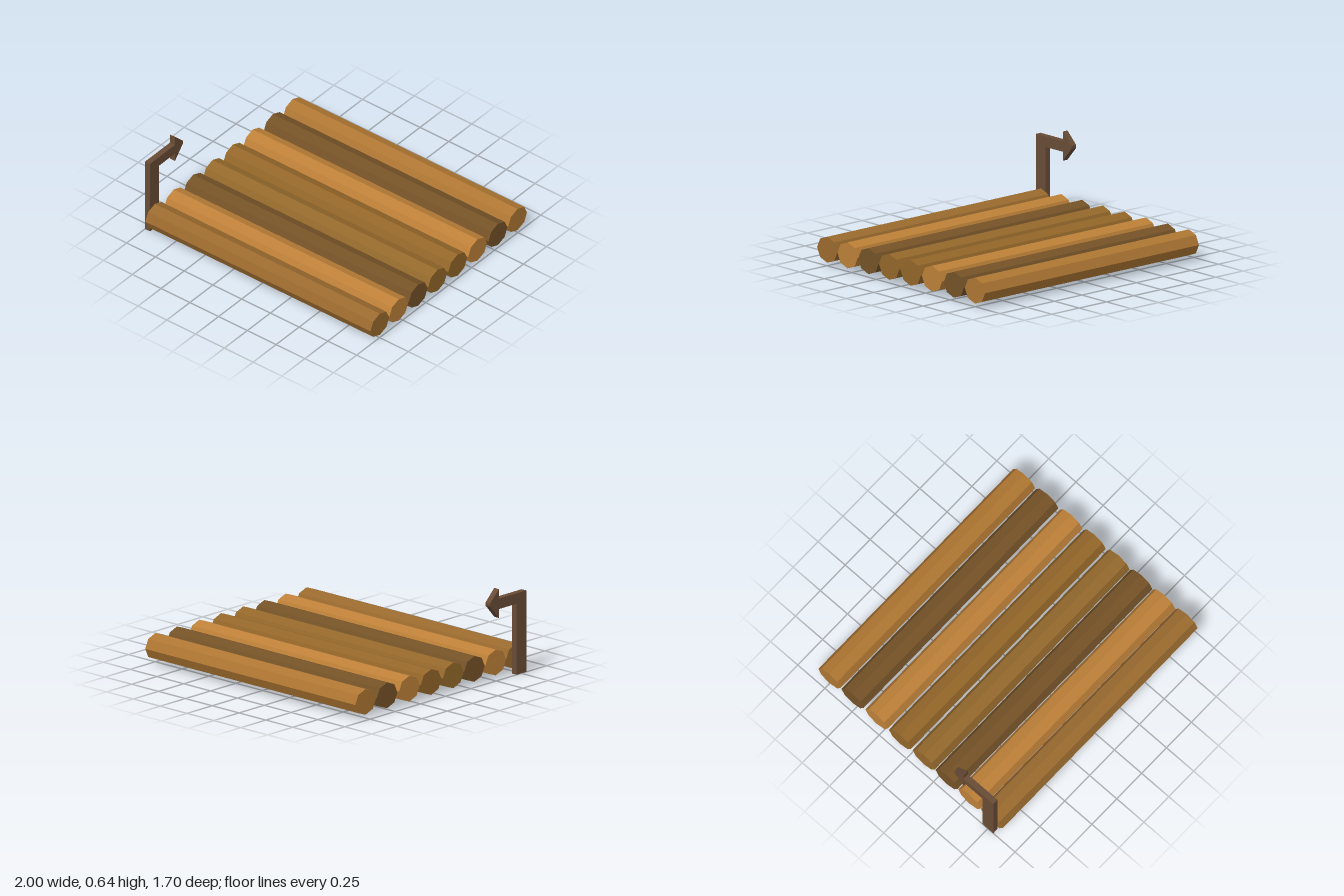
import * as THREE from 'three';

// One log: [z position, colour]
const LOGS = [
  [0.748, 0x9a6a2e], [0.542, 0xbd8038], [0.331, 0x755227], [0.121, 0x94682b],
  [-0.098, 0x936629], [-0.314, 0xbd8038], [-0.535, 0x755227], [-0.748, 0xae7632],
];

const material = (color) => new THREE.MeshStandardMaterial({ color, flatShading: true });

export function createModel() {
  const model = new THREE.Group();
  model.name = 'logRaft';

  // Row of eight-sided logs lying along x, slightly flattened
  const logGeometry = new THREE.CylinderGeometry(1, 1, 1.957, 8);
  logGeometry.rotateZ(Math.PI / 2);
  logGeometry.scale(1, 0.091, 0.102);
  LOGS.forEach(([z, color], i) => {
    const log = new THREE.Mesh(logGeometry, material(color));
    log.name = `log${i + 1}`;
    log.position.set(0.0215, 0.113, z);
    model.add(log);
  });

  // Bent arrow: upright post, arm and blunt head, drawn as (z, y)
  const outline = [
    [0.8, 0], [0.8, 0.577], [0.528, 0.577], [0.528, 0.645], [0.44, 0.56],
    [0.44, 0.54], [0.528, 0.44], [0.528, 0.503], [0.703, 0.503], [0.703, 0],
  ];
  const shape = new THREE.Shape(outline.map(([z, y]) => new THREE.Vector2(z, y)));
  const arrowGeometry = new THREE.ExtrudeGeometry(shape, { depth: 0.043, bevelEnabled: false });
  arrowGeometry.rotateY(-Math.PI / 2);
  const arrow = new THREE.Mesh(arrowGeometry, material(0x684c35));
  arrow.name = 'bentArrow';
  arrow.position.x = -0.957;
  model.add(arrow);

  return model;
}
